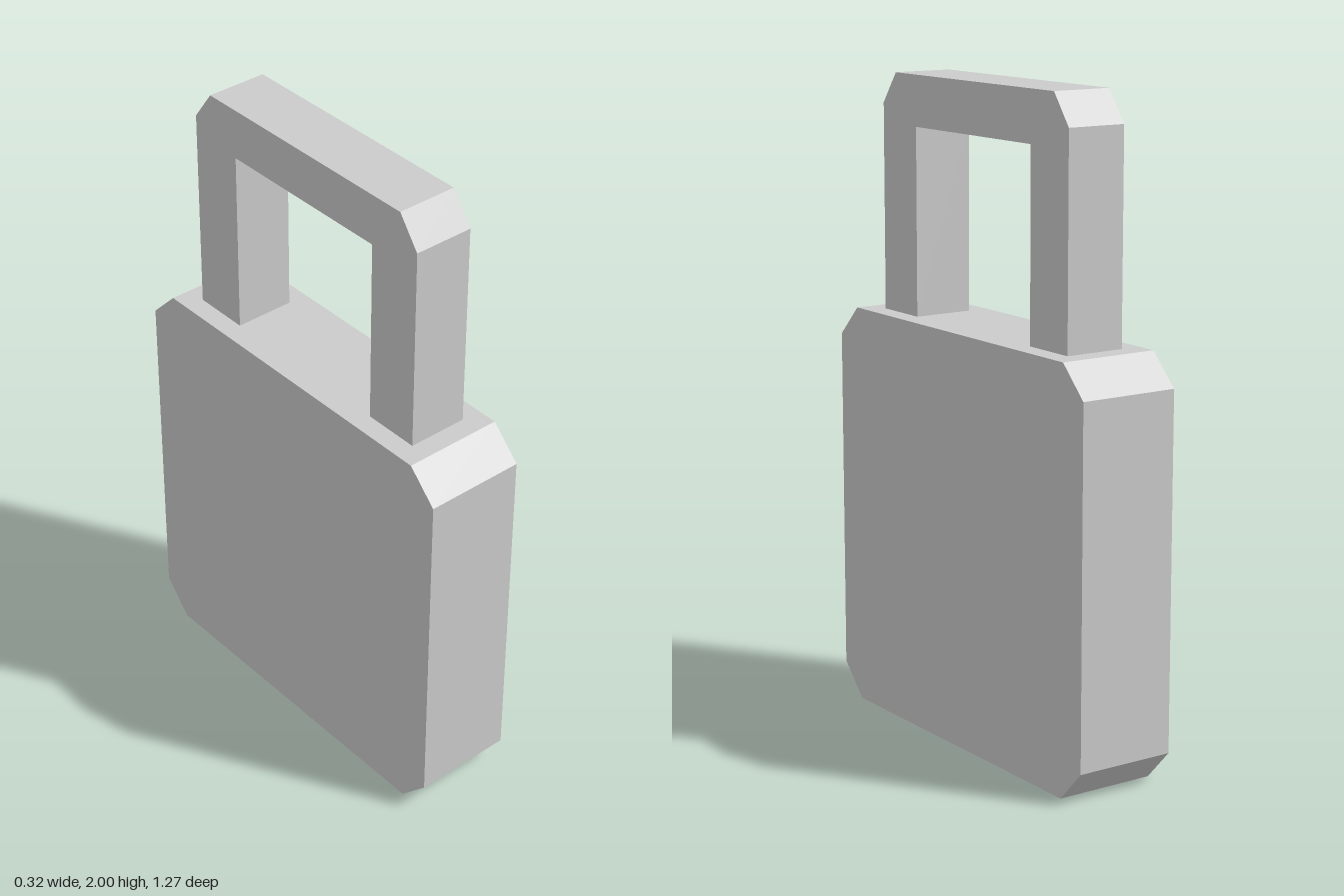
import * as THREE from 'three';

const material = new THREE.MeshStandardMaterial({ color: 0xcccccc, flatShading: true });

// Mirrors a half outline (z, y) and extrudes it across x, centred on x = 0
function plate(name, half, thickness) {
  const mirrored = half.map(([z, y]) => [-z, y]).reverse();
  const shape = new THREE.Shape([...half, ...mirrored].map(([z, y]) => new THREE.Vector2(z, y)));
  const geometry = new THREE.ExtrudeGeometry(shape, { depth: thickness, bevelEnabled: false });
  geometry.translate(0, 0, -thickness / 2).rotateY(-Math.PI / 2);
  const mesh = new THREE.Mesh(geometry, material);
  mesh.name = name;
  return mesh;
}

export function createModel() {
  const group = new THREE.Group();
  group.name = 'padlock';

  // Square body with chamfered corners
  group.add(plate('body', [[0.54, 0], [0.635, 0.1], [0.635, 1.175], [0.54, 1.27]], 0.316));

  // Squared shackle: inner edge up from the body, then the outer edge back down
  group.add(plate('shackle', [
    [0.295, 1.845], [0.295, 1.27], [0.475, 1.27], [0.475, 1.905], [0.405, 2],
  ], 0.19));

  return group;
}
